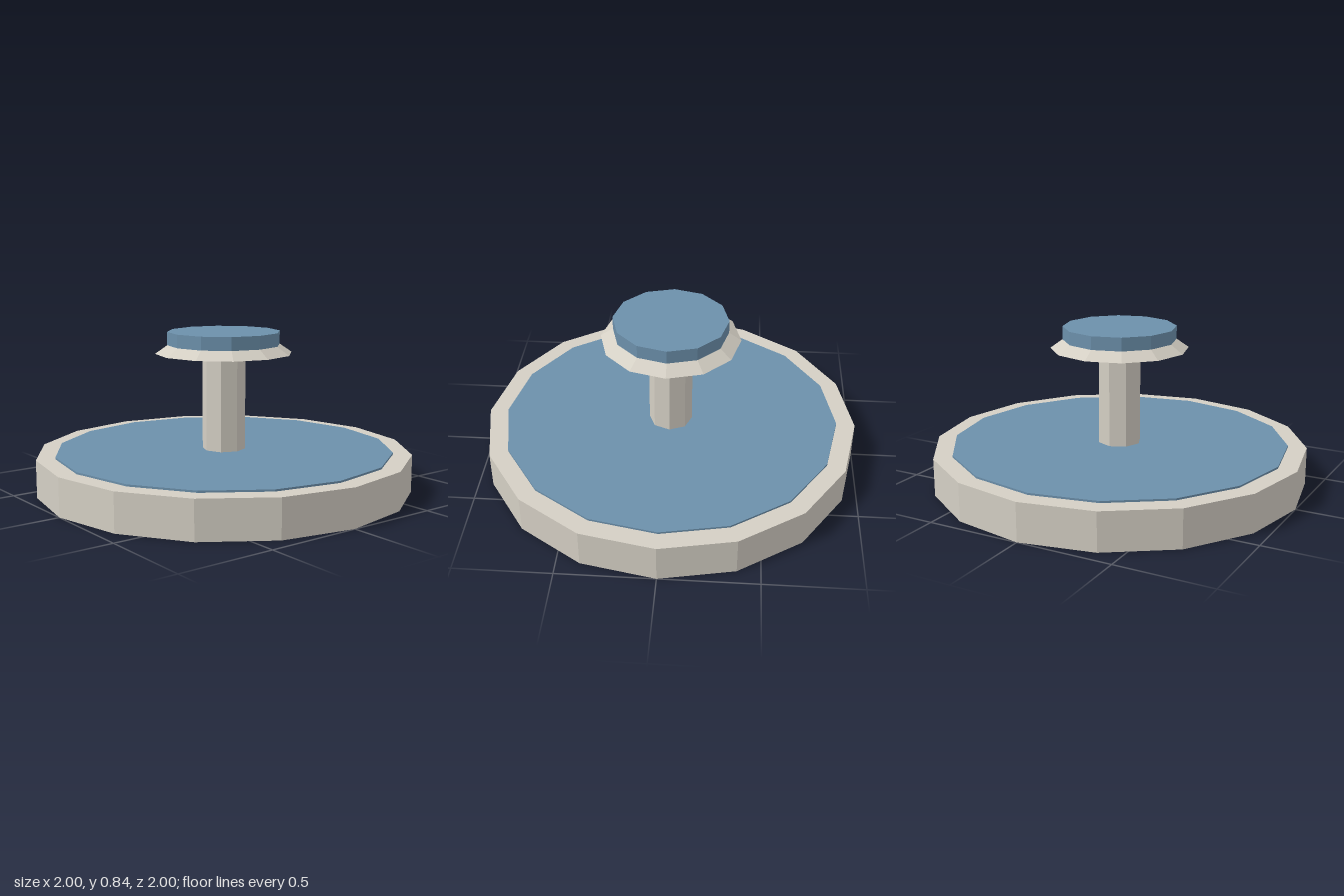
import * as THREE from 'three';

const beige = new THREE.MeshStandardMaterial({ color: 0xd4cfc4, flatShading: true });
const blue = new THREE.MeshStandardMaterial({ color: 0x6c90ab, flatShading: true });

// Faceted disc or column standing between heights y0 and y1
function prism(name, rTop, rBottom, y0, y1, sides, material) {
  const geometry = new THREE.CylinderGeometry(rTop, rBottom, y1 - y0, sides);
  const mesh = new THREE.Mesh(geometry, material);
  mesh.name = name;
  mesh.position.y = (y0 + y1) / 2;
  return mesh;
}

export function createModel() {
  const model = new THREE.Group();
  model.name = 'pedestal';
  model.add(
    // Wide base with a thin coloured inlay on top
    prism('base', 1, 1, 0, 0.2, 16, beige),
    prism('baseInlay', 0.9, 0.9, 0.2, 0.21, 16, blue),
    // Octagonal post
    prism('post', 0.115, 0.115, 0.21, 0.725, 8, beige),
    // Flared collar carrying the cap
    prism('collar', 0.3, 0.365, 0.725, 0.77, 12, beige),
    prism('cap', 0.3, 0.3, 0.77, 0.84, 12, blue),
  );
  return model;
}
